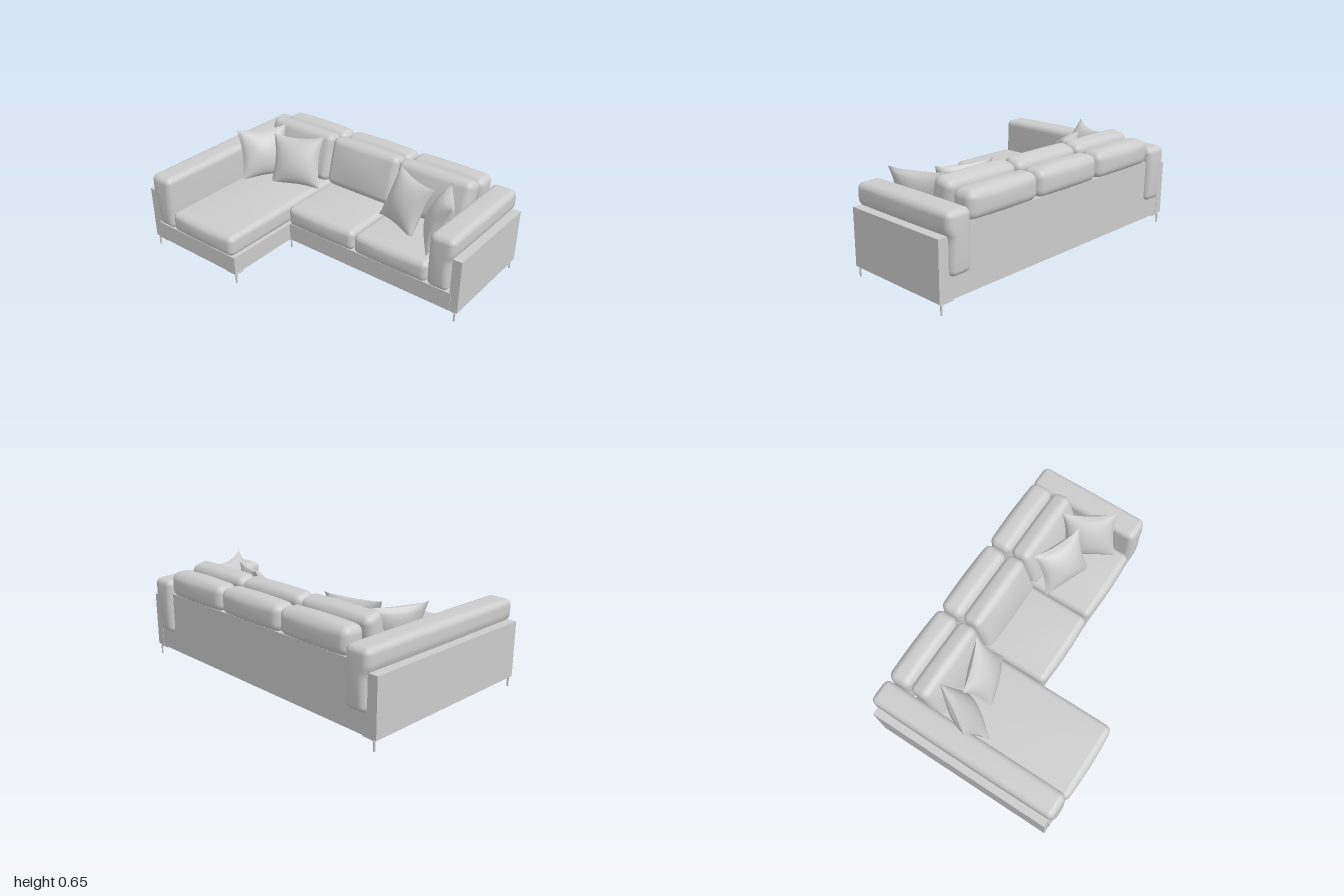
import * as THREE from 'three';
import { mergeVertices } from 'three/addons/utils/BufferGeometryUtils.js';

const material = new THREE.MeshStandardMaterial({ color: 0xcccccc, side: THREE.DoubleSide });

function add(parent, name, geometry, x = 0, y = 0, z = 0) {
  const mesh = new THREE.Mesh(geometry, material);
  mesh.name = name;
  mesh.position.set(x, y, z);
  parent.add(mesh);
  return mesh;
}

// Box given by its limits
function block(parent, name, x0, x1, y0, y1, z0, z1) {
  return add(parent, name, new THREE.BoxGeometry(x1 - x0, y1 - y0, z1 - z0),
    (x0 + x1) / 2, (y0 + y1) / 2, (z0 + z1) / 2);
}

// Soft rounded block; bulge = [x, y, z] swelling of the faces, warp = optional last rule
function cushionGeometry(size, r, bulge, warp) {
  const n = 20;
  let g = new THREE.BoxGeometry(2, 2, 2, n, n, n);
  g.deleteAttribute('uv');
  g.deleteAttribute('normal');
  g = mergeVertices(g, 1e-4);
  const half = size.map((s, i) => s / 2 - bulge[i]);
  const pos = g.attributes.position;
  const rounded = new THREE.Vector3();
  for (let i = 0; i < pos.count; i++) {
    const u = [pos.getX(i), pos.getY(i), pos.getZ(i)];
    // spend 4 of the 10 half-divisions on the rounded edge
    const q = u.map((t, k) => {
      const a = Math.abs(t), inner = half[k] - r;
      const d = a < 0.6 ? inner * a / 0.6 : inner + r * Math.tan((a - 0.6) / 0.4 * Math.PI / 4);
      return Math.sign(t) * d;
    });
    const core = q.map((t, k) => THREE.MathUtils.clamp(t, r - half[k], half[k] - r));
    rounded.set(q[0] - core[0], q[1] - core[1], q[2] - core[2]).setLength(r);
    const p = [core[0] + rounded.x, core[1] + rounded.y, core[2] + rounded.z];
    const f = p.map((t, k) => t / half[k]);
    const out = p.map((t, k) => {
      const a = f[(k + 1) % 3], b = f[(k + 2) % 3];
      return t + f[k] * bulge[k] * (1 - a * a) * (1 - b * b);
    });
    if (warp) warp(out);
    pos.setXYZ(i, ...out);
  }
  g.computeVertexNormals();
  return g;
}

function cushion(parent, name, min, max, r, bulge, warp) {
  const size = max.map((m, i) => m - min[i]);
  return add(parent, name, cushionGeometry(size, r, bulge, warp),
    ...max.map((m, i) => (m + min[i]) / 2));
}

// Hollow rectangular base, open underneath
function baseFrame(parent, name, x0, x1, z0, z1, t = 0.035) {
  const rect = (T, a, b, c, d) => {
    const s = new T();
    s.moveTo(a, c).lineTo(b, c).lineTo(b, d).lineTo(a, d).closePath();
    return s;
  };
  const shape = rect(THREE.Shape, x0, x1, -z1, -z0);
  shape.holes.push(rect(THREE.Path, x0 + t, x1 - t, -z1 + t, -z0 - t));
  const g = new THREE.ExtrudeGeometry(shape, { depth: 0.12, bevelEnabled: false });
  g.rotateX(-Math.PI / 2);
  add(parent, name, g, 0, 0.068, 0);
}

// Throw pillow: two swollen sheets with pulled-out corners and thin seams
function throwPillow(parent, name, x, y, z, yaw, tilt, roll) {
  const group = new THREE.Group();
  group.name = name;
  for (const side of [1, -1]) {
    const g = new THREE.PlaneGeometry(2, 2, 24, 24);
    const pos = g.attributes.position;
    for (let i = 0; i < pos.count; i++) {
      const u = pos.getX(i), v = pos.getY(i);
      const a = 1 - u * u, b = 1 - v * v;
      pos.setXYZ(i, 0.175 * u * (1 - 0.13 * b), 0.175 * v * (1 - 0.13 * a),
        0.075 * Math.pow(Math.max(a * b, 0), 0.6));
    }
    g.computeVertexNormals();
    if (side < 0) g.rotateY(Math.PI);
    add(group, side > 0 ? 'pillowFront' : 'pillowBack', g);
  }
  group.position.set(x, y, z);
  group.rotation.set(-tilt, yaw, roll, 'YXZ');
  parent.add(group);
}

// Slim bent metal foot with two mounting bars running inward
function leg(parent, x, z, dx, dz) {
  const group = new THREE.Group();
  group.name = 'leg';
  for (const [bx, bz] of [[dx * 0.08, 0], [0, dz * 0.06]]) {
    const path = new THREE.CurvePath();
    const at = (t, y) => new THREE.Vector3(bx * t, y, bz * t);
    path.add(new THREE.LineCurve3(at(0, 0), at(0, 0.045)));
    path.add(new THREE.QuadraticBezierCurve3(at(0, 0.045), at(0, 0.063), at(0.25, 0.063)));
    path.add(new THREE.LineCurve3(at(0.25, 0.063), at(1, 0.063)));
    add(group, 'legBar', new THREE.TubeGeometry(path, 24, 0.006, 8));
  }
  group.position.set(x, 0, z);
  parent.add(group);
}

export function createModel() {
  const sofa = new THREE.Group();
  sofa.name = 'cornerSofa';

  // Base and outer panels
  baseFrame(sofa, 'chaiseBase', -0.95, -0.265, -0.61, 0.615);
  baseFrame(sofa, 'sofaBase', -0.265, 0.95, -0.61, 0.1);
  block(sofa, 'rightSidePanel', -1, -0.94, 0.068, 0.42, -0.612, 0.612);
  block(sofa, 'leftSidePanel', 0.94, 1, 0.068, 0.42, -0.612, 0.095);
  block(sofa, 'backPanel', -0.94, 0.94, 0.188, 0.46, -0.61, -0.57);

  // Padded arms, the upper part swelling out over the side panel
  for (const [name, s, front] of [['rightArm', -1, 0.64], ['leftArm', 1, 0.13]]) {
    const min = [s < 0 ? -0.937 : 0.787, 0.188, -0.645];
    const max = [s < 0 ? -0.787 : 0.937, 0.553, front];
    cushion(sofa, name, min, max, 0.035, [0.004, 0.006, 0.008], (p) => {
      if (p[0] * s > 0) p[0] += s * 0.022 * THREE.MathUtils.smoothstep(p[1], 0.03, 0.08);
    });
  }

  // Seat, back bolster and leaning back cushion for each bay
  const bays = [[-0.79, -0.265, 0.645], [-0.26, 0.26, 0.135], [0.265, 0.79, 0.135]];
  for (const [x0, x1, front] of bays) {
    cushion(sofa, front > 0.5 ? 'chaiseSeat' : 'seat',
      [x0, 0.18, -0.5], [x1, 0.343, front], 0.035, [0.002, 0.014, 0.012]);
    cushion(sofa, 'backBolster', [x0, 0.44, -0.632], [x1, 0.622, -0.465], 0.045, [0.002, 0.012, 0.01]);
    const back = add(sofa, 'backCushion',
      cushionGeometry([x1 - x0, 0.335, 0.165], 0.04, [0.002, 0.008, 0.018]),
      (x0 + x1) / 2, 0.483, -0.365);
    back.rotation.x = -0.25;
  }

  // Scatter pillows, a mirrored pair at each end
  for (const s of [-1, 1]) {
    throwPillow(sofa, 'innerPillow', s * 0.44, 0.48, -0.18, -s * 0.35, 0.42, -s * 0.05);
    throwPillow(sofa, 'outerPillow', s * 0.7, 0.48, -0.14, -s * 1.05, 0.38, s * 0.04);
  }

  // Feet
  const feet = [[-0.98, 0.605, 1, -1], [-0.268, 0.605, -1, -1], [-0.268, 0.085, -1, -1],
    [0.98, 0.085, -1, -1], [0.98, -0.602, -1, 1], [-0.98, -0.602, 1, 1]];
  for (const f of feet) leg(sofa, ...f);

  return sofa;
}
